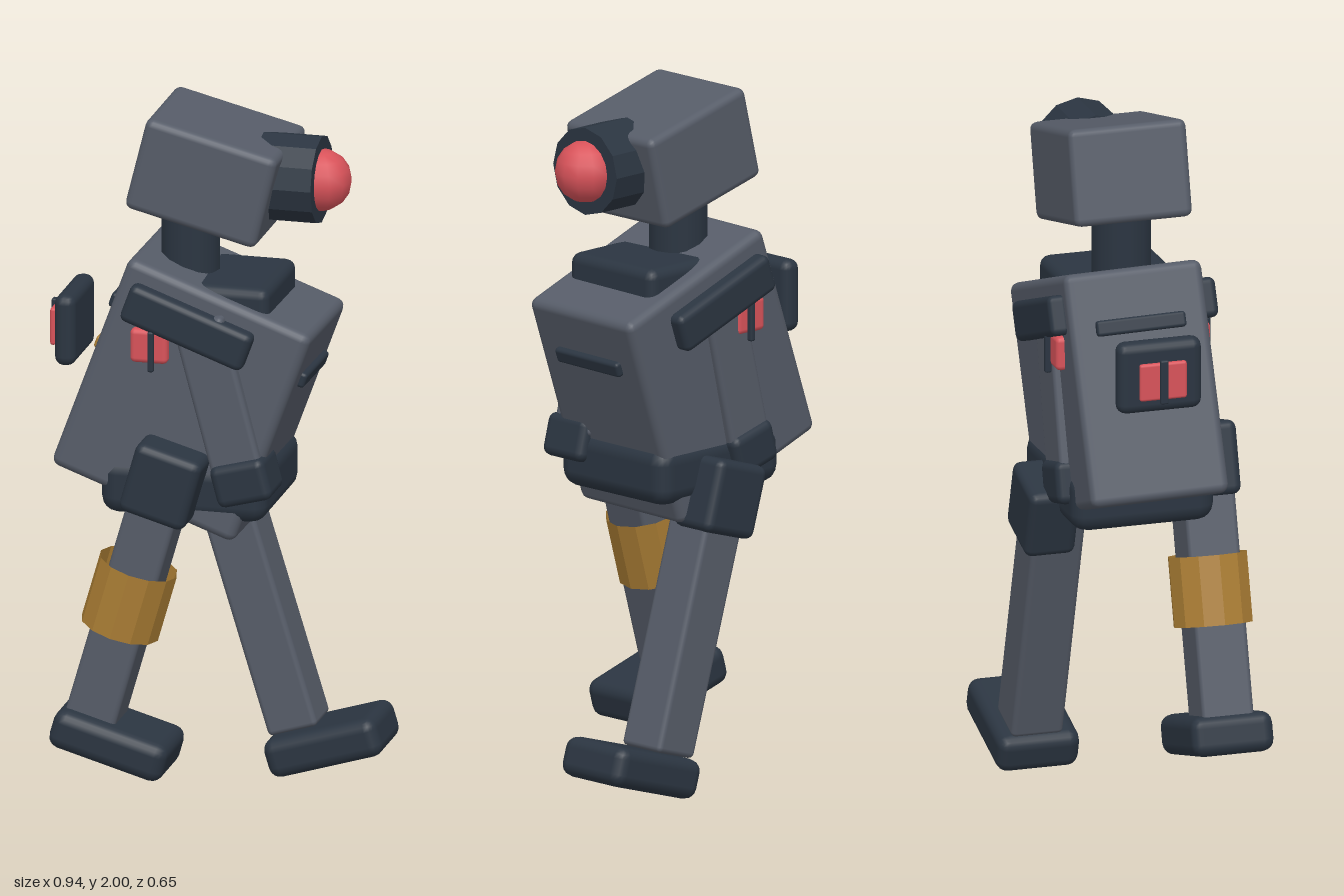
import * as THREE from 'three';
import { RoundedBoxGeometry } from 'three/addons/geometries/RoundedBoxGeometry.js';

const DEG = Math.PI / 180;

function material(name, color, options = {}) {
  const m = new THREE.MeshStandardMaterial({ color, ...options });
  m.name = name;
  return m;
}

export function createModel() {
  const model = new THREE.Group();
  model.name = 'walkingRobot';
  const grey = material('steelGrey', 0x565c68);
  const dark = material('darkSlate', 0x2b3541);
  const red = material('signalRed', 0xd9535a);
  const gold = material('brass', 0xaa7d34, { side: THREE.DoubleSide, flatShading: true });

  function add(name, geometry, mat, position, tilt = 0, parent = model) {
    const mesh = new THREE.Mesh(geometry, mat);
    mesh.name = name;
    mesh.position.set(...position);
    mesh.rotation.z = tilt * DEG;
    parent.add(mesh);
    return mesh;
  }
  // Box with softened edges; tilt is in degrees about z
  function block(name, size, mat, position, tilt = 0, radius = 0.02, parent = model) {
    const r = Math.min(radius, Math.min(...size) * 0.45);
    return add(name, new RoundedBoxGeometry(...size, 2, r), mat, position, tilt, parent);
  }

  // Leaning torso with a slight sideways roll; its panels share the lean
  const torso = new THREE.Group();
  torso.name = 'torso';
  torso.position.set(-0.047, 1.19, -0.028);
  torso.rotation.set(-0.02, 0, -20 * DEG);
  model.add(torso);
  block('torsoShell', [0.57, 0.665, 0.41], grey, [0, 0, 0], 0, 0.025, torso);
  block('frontVent', [0.03, 0.045, 0.25], dark, [0.288, 0.175, 0], 0, 0.01, torso);
  block('backVent', [0.03, 0.045, 0.265], dark, [-0.288, 0.17, 0], 0, 0.01, torso);
  block('backTrim', [0.03, 0.035, 0.185], gold, [-0.29, 0.02, 0], 0, 0.008, torso);
  for (const side of [1, -1]) {
    block(side > 0 ? 'leftShoulderPlate' : 'rightShoulderPlate',
      [0.38, 0.115, 0.06], dark, [-0.055, 0.222, side * 0.22], 0, 0.02, torso);
  }

  // Inner frame blocks that emerge through the shell
  block('chestBlock', [0.4, 0.26, 0.335], dark, [0.0, 1.4, -0.025], 0, 0.03);
  block('pelvis', [0.485, 0.17, 0.424], dark, [-0.042, 0.928, -0.025], 0, 0.05);

  // Side indicators, one on each flank
  for (const side of [1, -1]) {
    block('sideLamp', [0.11, 0.1, 0.05], red, [-0.135, 1.355, -0.03 + side * 0.205], 0, 0.015);
    block('sideLampBar', [0.018, 0.12, 0.02], dark, [-0.125, 1.345, -0.03 + side * 0.236], 0, 0.006);
  }

  // Winding unit behind the back
  block('windingPlate', [0.062, 0.21, 0.25], dark, [-0.41, 1.345, -0.03], 0, 0.03);
  block('windingLamp', [0.018, 0.11, 0.14], red, [-0.456, 1.34, -0.03], 0, 0.008);
  block('windingBar', [0.014, 0.13, 0.024], dark, [-0.468, 1.34, -0.03], 0, 0.005);

  // Neck, head and single eye
  add('neck', new THREE.CylinderGeometry(0.086, 0.086, 0.26, 12), dark, [-0.07, 1.63, -0.03]);
  block('head', [0.395, 0.278, 0.35], grey, [0.0, 1.828, -0.038], -14, 0.022);
  const housing = new THREE.CylinderGeometry(0.127, 0.127, 0.17, 12).rotateZ(Math.PI / 2).toNonIndexed();
  housing.computeVertexNormals();
  add('eyeHousing', housing, dark, [0.226, 1.816, -0.037]);
  add('eye', new THREE.SphereGeometry(0.089, 12, 8), red, [0.309, 1.816, -0.037]);

  // Arms swing in opposite directions
  block('leftArm', [0.15, 0.47, 0.15], grey, [0.068, 1.215, 0.13], 15, 0.015);
  block('leftHand', [0.165, 0.125, 0.16], dark, [0.138, 0.975, 0.144], 15, 0.025);
  block('rightArm', [0.15, 0.47, 0.15], grey, [-0.085, 1.215, -0.18], -14, 0.015);
  block('rightHand', [0.16, 0.125, 0.14], dark, [-0.15, 0.965, -0.2], -15, 0.025);

  // Legs: hip, shin and foot share one stride angle
  const legs = [
    { side: 'left', tilt: -16, hip: [-0.08, 0.967, 0.215], shin: [-0.19, 0.6, 0.198], foot: [-0.225, 0.195, 0.205] },
    { side: 'right', tilt: 17, hip: [-0.022, 0.848, -0.245], shin: [0.088, 0.5, -0.215], foot: [0.295, 0.105, -0.205] },
  ];
  for (const { side, tilt, hip, shin, foot } of legs) {
    block(side + 'Hip', [0.2, 0.212, 0.15], dark, hip, tilt, 0.025);
    block(side + 'Leg', [0.15, 0.76, 0.153], grey, shin, tilt, 0.015);
    block(side + 'Foot', [0.345, 0.115, 0.243], dark, foot, tilt, 0.035);
  }

  // Open cuff around one leg
  add('legCuff', new THREE.CylinderGeometry(0.115, 0.115, 0.2, 12, 1, true), gold, [-0.19, 0.613, 0.196], -16);

  return model;
}
